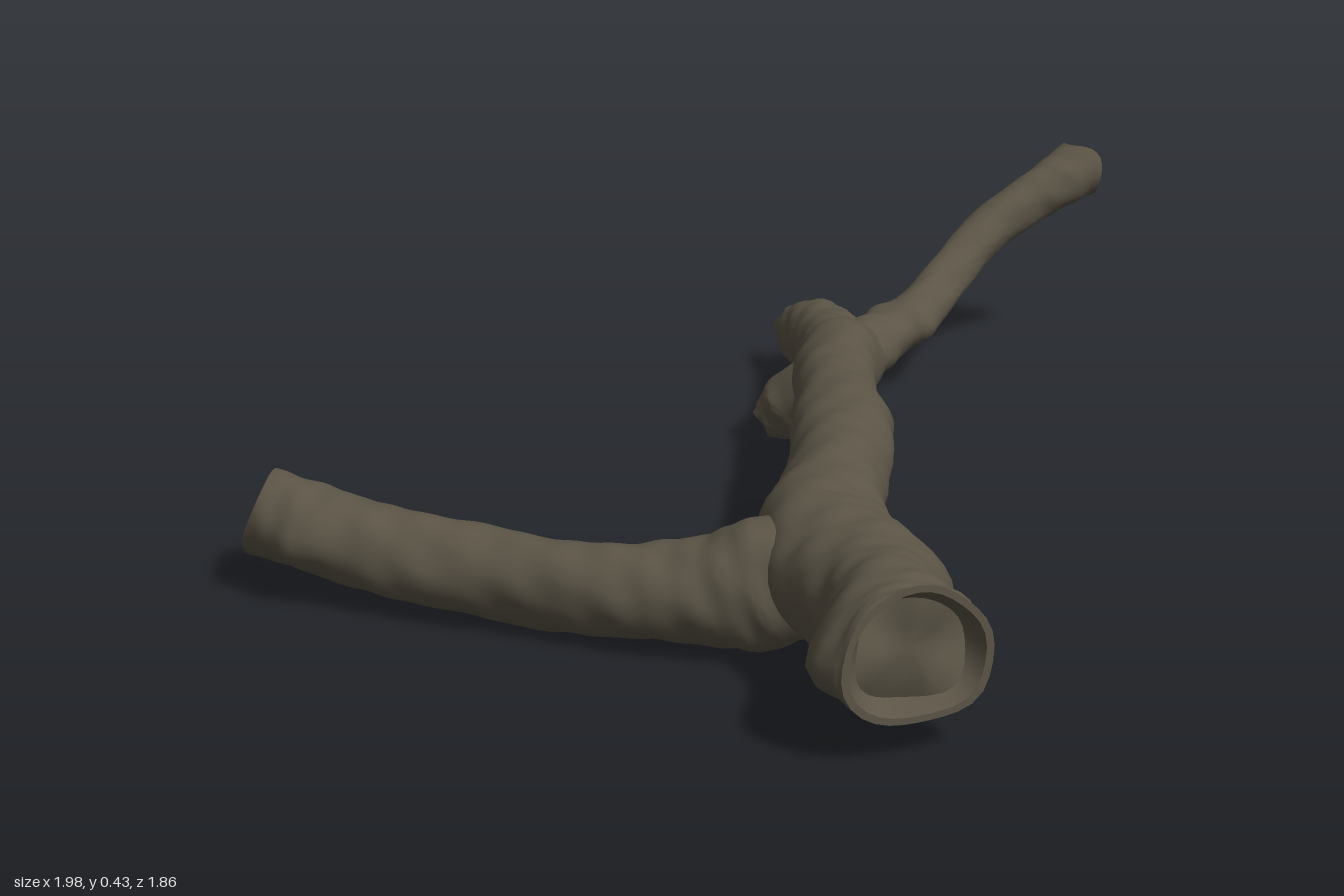
import * as THREE from 'three';
import { toCreasedNormals } from 'three/addons/utils/BufferGeometryUtils.js';

const SIDES = 32;
const UP = new THREE.Vector3(0, 1, 0);

// A limb swept along [x, y, z, radius] points, with lumpy bark, swellings and broken ends.
// bumps: [x, y, z, reach, height]; lip(angle): how far the broken end sticks out at each side
function limbGeometry(points, { bumps = [], lip = () => 0, hollow = 0.02, rings = 60, seed = 0 } = {}) {
  const path = new THREE.CatmullRomCurve3(points.map(p => new THREE.Vector3(p[0], p[1], p[2])));
  const radii = new THREE.CatmullRomCurve3(points.map((p, i) => new THREE.Vector3(i, p[3], 0)));
  const swellings = bumps.map(b => ({ at: new THREE.Vector3(b[0], b[1], b[2]), reach: b[3], height: b[4] }));

  // Start cap, body, end cap: [position along limb, radius scale, depth of the hollow]
  const stations = [[0, 0, 1], [0, 0.4, 0.7], [0, 0.75, 0.9], [0, 0.9, 0]];
  for (let i = 0; i <= rings; i++) stations.push([i / rings, 1, 0]);
  stations.push([1, 0.9, 0], [1, 0.75, 0.9], [1, 0.4, 0.7], [1, 0, 1]);

  const pos = [], index = [];
  const outward = new THREE.Vector3(), v = new THREE.Vector3();
  stations.forEach(([t, scale, dip], i) => {
    const center = path.getPoint(t), tangent = path.getTangent(t);
    const right = new THREE.Vector3().crossVectors(tangent, UP).normalize();
    const up = new THREE.Vector3().crossVectors(right, tangent);
    const r = radii.getPoint(t).y;
    const along = t * path.getLength() * 10;
    for (let j = 0; j < SIDES; j++) {
      const a = j / SIDES * Math.PI * 2;
      const bark = 1 + 0.04 * Math.sin(2 * a + along * 1.3 + seed) + 0.03 * Math.sin(3 * a - along * 2.1 + seed * 2)
        + 0.015 * Math.sin(5 * a + along * 4.7 + seed) + 0.012 * Math.sin(along * 9 + 2 * Math.sin(a + seed));
      outward.copy(right).multiplyScalar(Math.cos(a)).addScaledVector(up, Math.sin(a));
      v.copy(center).addScaledVector(outward, r * bark);
      let push = 0;
      for (const s of swellings) push += s.height * Math.exp(-v.distanceToSquared(s.at) / s.reach ** 2);
      v.addScaledVector(outward, push).sub(center).multiplyScalar(scale).add(center);
      const rough = dip * hollow * (1 + 0.5 * scale * Math.sin(3 * a + seed));
      const nearEnd = Math.max(0, (t - 0.9) * 10);
      v.addScaledVector(tangent, (t < 0.5 ? rough : -rough) + nearEnd * scale * lip(a));
      pos.push(v.x, v.y, v.z);
      if (i === stations.length - 1) continue;
      const k = (j + 1) % SIDES, p = i * SIDES, q = p + SIDES;
      index.push(p + j, q + j, p + k, p + k, q + j, q + k);
    }
  });
  const g = new THREE.BufferGeometry();
  g.setAttribute('position', new THREE.Float32BufferAttribute(pos, 3));
  g.setIndex(index);
  return toCreasedNormals(g, 0.75);
}

export function createModel() {
  const bark = new THREE.MeshStandardMaterial({ color: 0x5c5547 });
  bark.name = 'bark';
  const group = new THREE.Group();
  group.name = 'fallenBranch';

  const addLimb = (name, points, options) => {
    const mesh = new THREE.Mesh(limbGeometry(points, options), bark);
    mesh.name = name;
    group.add(mesh);
  };

  // Thick butt at the front, running back to a slanted, splintered break
  addLimb('trunk', [
    [-0.24, 0.185, 0.93, 0.115], [-0.235, 0.185, 0.86, 0.11], [-0.205, 0.175, 0.74, 0.105], [-0.195, 0.17, 0.6, 0.112],
    [-0.175, 0.17, 0.47, 0.118], [-0.1, 0.18, 0.31, 0.098], [-0.01, 0.19, 0.15, 0.09], [0.075, 0.19, -0.02, 0.085],
    [0.145, 0.175, -0.2, 0.08], [0.225, 0.16, -0.38, 0.08], [0.315, 0.13, -0.55, 0.083],
    [0.36, 0.11, -0.7, 0.075], [0.37, 0.1, -0.8, 0.07], [0.375, 0.09, -0.88, 0.055],
  ], {
    bumps: [[-0.1, 0.11, 0.64, 0.09, 0.075], [-0.36, 0.15, 0.85, 0.055, 0.05], [-0.14, 0.1, 0.93, 0.05, 0.02],
      [0.16, 0.17, -0.05, 0.05, 0.015], [0.27, 0.23, -0.46, 0.07, 0.015]],
    lip: a => -0.03 * Math.sin(a) + 0.02 * Math.sin(3 * a + 1) + 0.012 * Math.sin(7 * a),
    hollow: 0.035, rings: 150, seed: 1,
  });

  // Low fork sweeping back to the model's right
  addLimb('rightFork', [
    [-0.17, 0.15, 0.52, 0.085], [-0.27, 0.135, 0.46, 0.105], [-0.36, 0.115, 0.405, 0.09], [-0.47, 0.1, 0.32, 0.08],
    [-0.6, 0.097, 0.2, 0.075], [-0.74, 0.108, 0.06, 0.073], [-0.85, 0.125, -0.06, 0.077], [-0.93, 0.138, -0.16, 0.077],
  ], { bumps: [[-0.95, 0.11, 0.0, 0.045, 0.035]], lip: a => 0.012 * Math.sin(2 * a), rings: 90, seed: 3 });

  // Thin twig rising to the model's left
  addLimb('leftTwig', [
    [0.33, 0.11, -0.57, 0.06], [0.41, 0.12, -0.62, 0.064], [0.47, 0.135, -0.645, 0.052], [0.54, 0.165, -0.665, 0.048],
    [0.63, 0.215, -0.71, 0.044], [0.73, 0.28, -0.75, 0.046], [0.84, 0.335, -0.77, 0.05],
    [0.91, 0.365, -0.772, 0.056], [0.965, 0.39, -0.775, 0.061],
  ], {
    bumps: [[0.53, 0.15, -0.62, 0.03, 0.015], [0.46, 0.16, -0.69, 0.03, 0.015]],
    lip: a => 0.015 * Math.sin(a + 1) + 0.01 * Math.sin(3 * a), rings: 80, seed: 5,
  });

  // Short broken stub below the trunk
  addLimb('stub', [
    [0.23, 0.16, -0.37, 0.07], [0.18, 0.11, -0.42, 0.066], [0.15, 0.08, -0.445, 0.06], [0.125, 0.06, -0.46, 0.042],
  ], { hollow: -0.012, rings: 20, seed: 2 });

  return group;
}
